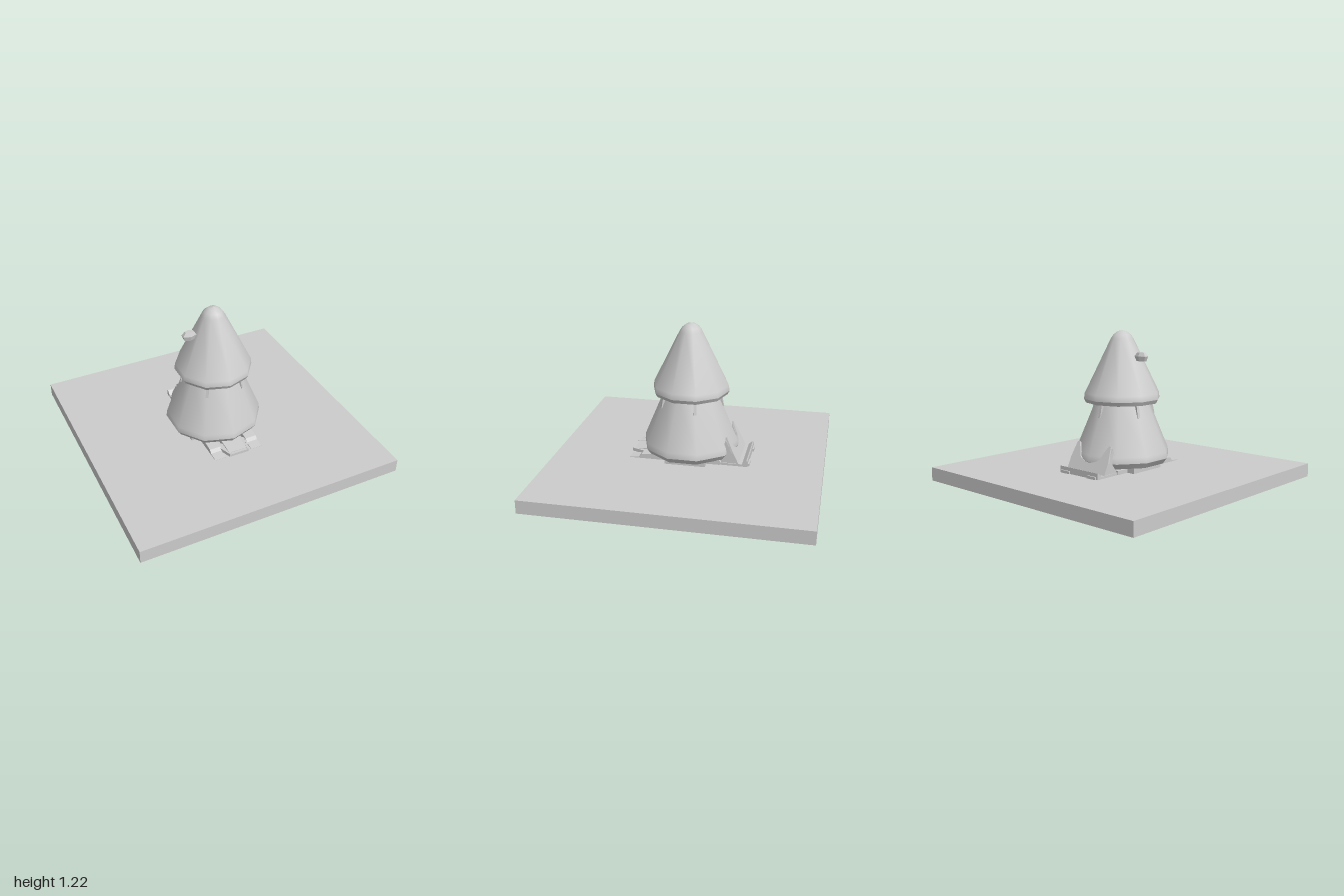
import * as THREE from 'three';

const grey = new THREE.MeshStandardMaterial({ color: 0xcccccc });
grey.name = 'plain grey';

function add(parent, name, geometry, x = 0, y = 0, z = 0) {
  const mesh = new THREE.Mesh(geometry, grey);
  mesh.name = name;
  mesh.position.set(x, y, z);
  parent.add(mesh);
  return mesh;
}

function box(parent, name, x0, x1, y0, y1, z0, z1) {
  return add(parent, name, new THREE.BoxGeometry(x1 - x0, y1 - y0, z1 - z0),
    (x0 + x1) / 2, (y0 + y1) / 2, (z0 + z1) / 2);
}

// Ten-sided turned surface with corners on the z axis
function lathe(parent, name, points) {
  return add(parent, name, new THREE.LatheGeometry(points.map(p => new THREE.Vector2(...p)), 10));
}

function plate(points, depth) {
  const shape = new THREE.Shape(points.map(p => new THREE.Vector2(...p)));
  const g = new THREE.ExtrudeGeometry(shape, { depth, bevelEnabled: false });
  return g.translate(0, 0, -depth / 2);
}

// Side profile given as [z, y], swept across x
function sidePlate(parent, name, points, width, x = 0) {
  return add(parent, name, plate(points, width).rotateY(-Math.PI / 2), x);
}

// Flat outline given as [x, z], with thickness in y
function floorPlate(parent, name, points, height, y) {
  return add(parent, name, plate(points, height).rotateX(Math.PI / 2), 0, y);
}

function buildTree() {
  const tree = new THREE.Group();
  tree.name = 'tree';
  add(tree, 'trunk', new THREE.CylinderGeometry(0.093, 0.093, 0.26, 10), 0, 0.13);

  // Each tier: flat underside, bevelled rim, smooth cone
  lathe(tree, 'lowerTierUnderside', [[0, 0.25], [0.328, 0.25]]);
  lathe(tree, 'lowerTierRim', [[0.328, 0.25], [0.357, 0.29]]);
  lathe(tree, 'lowerTier', [[0.357, 0.29], [0.352, 0.335], [0.2, 0.7]]);
  lathe(tree, 'upperTierUnderside', [[0, 0.69], [0.27, 0.69]]);
  lathe(tree, 'upperTierRim', [[0.27, 0.69], [0.285, 0.718]]);
  lathe(tree, 'upperTier', [[0.285, 0.718], [0.28, 0.76], [0.085, 1.155],
    [0.065, 1.185], [0.035, 1.208], [0, 1.216]]);

  // Five small fins below the upper tier
  for (let i = 0; i < 5; i++) {
    const fin = add(tree, 'branchFin',
      plate([[0.18, 0.7], [0.225, 0.59], [0.245, 0.6], [0.225, 0.7]], 0.02));
    fin.rotation.y = (2 * i + 1) * Math.PI / 5 - Math.PI / 2;
  }

  // Faceted ornament on the right
  const gem = new THREE.CylinderGeometry(1, 0.75, 0.035, 6).toNonIndexed();
  gem.computeVertexNormals();
  const lower = add(tree, 'ornament', gem, -0.187, 1.018, 0);
  lower.scale.set(0.058, 1, 0.034);
  const cap = new THREE.CylinderGeometry(0.6, 1, 0.028, 6).toNonIndexed();
  cap.computeVertexNormals();
  add(tree, 'ornamentCap', cap, -0.187, 1.049, 0).scale.set(0.058, 1, 0.034);
  return tree;
}

function buildCar() {
  const car = new THREE.Group();
  car.name = 'car';

  // Chassis and underside
  box(car, 'chassis', -0.13, 0.13, 0.09, 0.2, -0.34, 0.34);
  box(car, 'underPlate', -0.1, 0.1, 0.078, 0.11, -0.2, 0.2);
  box(car, 'frontUndertray', -0.19, 0.19, 0.094, 0.12, 0.34, 0.46);
  box(car, 'rearUndertray', -0.19, 0.19, 0.094, 0.12, -0.46, -0.34);
  box(car, 'body', -0.19, 0.19, 0.2, 0.235, -0.25, 0.2);
  box(car, 'cabin', -0.16, 0.16, 0.2, 0.256, -0.2, 0.16);
  for (const s of [-1, 1]) {
    box(car, 'sidePod', s * 0.215 - 0.035, s * 0.215 + 0.035, 0.2, 0.25, -0.15, 0.15);

    // Wheels with raised hubs
    for (const z of [-0.255, 0.245]) {
      const tyre = add(car, 'wheel', new THREE.CylinderGeometry(0.067, 0.067, 0.055, 16), s * 0.177, 0.115, z);
      tyre.rotation.z = Math.PI / 2;
      const hub = add(car, 'hub', new THREE.CylinderGeometry(0.042, 0.042, 0.062, 16), s * 0.177, 0.115, z);
      hub.rotation.z = Math.PI / 2;
    }

    // Front fenders and angled nose rails
    sidePlate(car, 'fender', [[0.2, 0.2], [0.43, 0.2], [0.43, 0.207], [0.36, 0.215],
      [0.34, 0.238], [0.2, 0.25]], 0.085, s * 0.147);
    const rail = box(car, 'noseRail', -0.007, 0.007, 0.2, 0.23, -0.055, 0.055);
    rail.position.x = s * 0.088;
    rail.position.z = 0.385;
    rail.rotation.y = -s * 0.36;
  }

  // Tapered nose
  floorPlate(car, 'nose', [[-0.11, 0.3], [0.11, 0.3], [0.07, 0.44], [-0.07, 0.44]], 0.03, 0.21);
  sidePlate(car, 'hood', [[0.15, 0.2], [0.42, 0.2], [0.42, 0.227], [0.3, 0.238], [0.15, 0.254]], 0.14);

  // Rear deck, lip and leaning panel with a rounded cut-out
  box(car, 'rearDeck', -0.185, 0.185, 0.19, 0.222, -0.45, -0.22);
  sidePlate(car, 'rearLip', [[-0.455, 0.2], [-0.455, 0.252], [-0.445, 0.25],
    [-0.415, 0.225], [-0.415, 0.2]], 0.372);
  const outline = [[-0.185, 0], [0.185, 0], [0.185, 0.1], [0.165, 0.22], [0.145, 0.22]];
  for (let i = 0; i <= 8; i++) {
    const a = i * Math.PI / 8;
    outline.push([0.11 * Math.cos(a), 0.15 - 0.07 * Math.sin(a)]);
  }
  outline.push([-0.145, 0.22], [-0.165, 0.22], [-0.185, 0.1]);
  const panel = add(car, 'rearPanel', plate(outline, 0.014), 0, 0.212, -0.385);
  panel.rotation.x = 0.44;
  for (const s of [-1, 1]) {
    box(car, 'rearTab', s * 0.13 - 0.04, s * 0.13 + 0.04, 0.205, 0.225, -0.466, -0.45);
    sidePlate(car, 'rearBrace', [[-0.39, 0.21], [-0.29, 0.4], [-0.26, 0.3], [-0.26, 0.21]], 0.012, s * 0.172);
  }
  return car;
}

export function createModel() {
  const model = new THREE.Group();
  model.name = 'treeOnCar';
  box(model, 'baseSlab', -1, 1, 0.105, 0.205, -1, 1);
  model.add(buildTree(), buildCar());
  return model;
}
